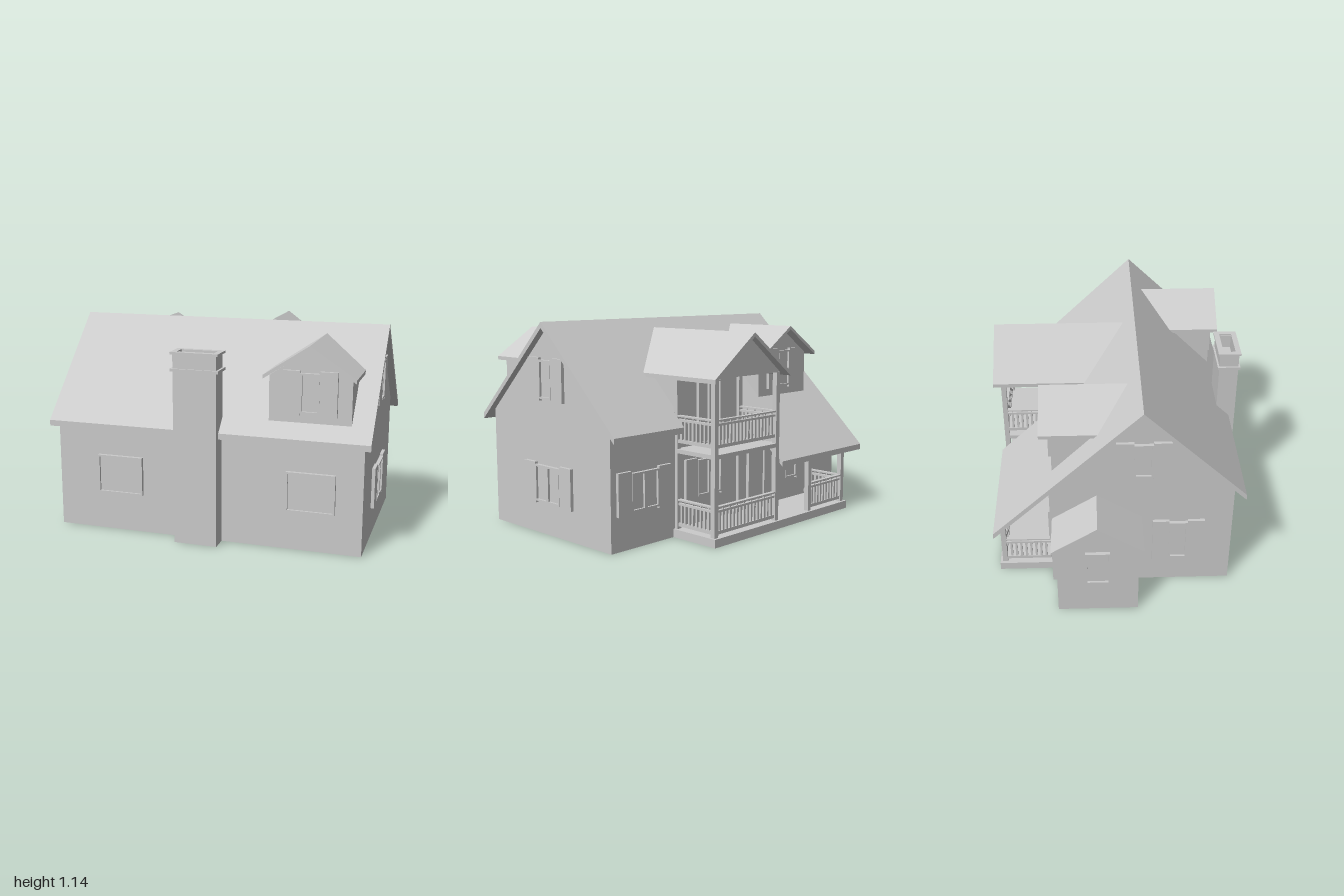
import * as THREE from 'three';

const mat = new THREE.MeshStandardMaterial({ color: 0xcccccc, flatShading: true, side: THREE.DoubleSide });
const RIDGE_Z = 0.11, RIDGE_Y = 1.142, SLOPE = 0.96;
const V = (x, y) => new THREE.Vector2(x, y);

function add(parent, name, geo) {
  const m = new THREE.Mesh(geo, mat);
  m.name = name;
  parent.add(m);
  return m;
}

// Box given by its limits on each axis
function block(parent, name, x0, x1, y0, y1, z0, z1) {
  const g = new THREE.BoxGeometry(x1 - x0, y1 - y0, z1 - z0);
  g.translate((x0 + x1) / 2, (y0 + y1) / 2, (z0 + z1) / 2);
  return add(parent, name, g);
}

// Outline of [z, y] points extruded along x
function prism(parent, name, pts, x0, x1) {
  const shape = new THREE.Shape(pts.map(([z, y]) => V(-z, y)));
  const g = new THREE.ExtrudeGeometry(shape, { depth: x1 - x0, bevelEnabled: false });
  g.rotateY(Math.PI / 2).translate(x0, 0, 0);
  return add(parent, name, g);
}

// Chevron outline of a pitched roof, as [offset, y] points
function chevron(half, ridge, slope, t, half2 = half) {
  return [[-half, ridge - slope * half], [0, ridge], [half2, ridge - slope * half2],
    [half2, ridge - slope * half2 - t], [0, ridge - t], [-half, ridge - slope * half - t]];
}

// Gabled walls with an open underside, ridge along x
function gableShell(parent, name, x0, x1, zc, hw, eave, ridge) {
  const g = new THREE.Group();
  g.name = name;
  parent.add(g);
  for (const s of [-1, 1]) {
    add(g, 'longWall', new THREE.PlaneGeometry(x1 - x0, eave).translate((x0 + x1) / 2, eave / 2, zc + s * hw));
    const end = new THREE.ShapeGeometry(new THREE.Shape([V(-hw, 0), V(hw, 0), V(hw, eave), V(0, ridge), V(-hw, eave)]));
    end.rotateY(s * Math.PI / 2).translate(s > 0 ? x1 : x0, 0, zc);
    add(g, 'gableWall', end);
  }
}

// Outline of [x, y] points extruded from its front back onto the main roof slope
function ontoRoof(parent, name, pts, front) {
  const g = new THREE.ExtrudeGeometry(new THREE.Shape(pts.map(p => V(...p))), { depth: 1, bevelEnabled: false });
  const p = g.attributes.position;
  for (let i = 0; i < p.count; i++) {
    const back = Math.min(front, (RIDGE_Y - p.getY(i)) / SLOPE + 0.01);
    p.setZ(i, p.getZ(i) > 0.5 ? front : back);
  }
  g.computeVertexNormals();
  return add(parent, name, g);
}

// Window facing +z, optional shutters, one or two panes
function windowUnit(parent, x, y, z, ry, w, h, panes = 1, shutter = 0) {
  const g = new THREE.Group();
  g.name = 'window';
  g.position.set(x, y, z);
  g.rotation.y = ry;
  parent.add(g);
  const pw = w / panes, f = 0.01;
  for (let i = 0; i < panes; i++) {
    const a = -w / 2 + i * pw, b = a + pw;
    const s = new THREE.Shape([V(a, -h / 2), V(b, -h / 2), V(b, h / 2), V(a, h / 2)]);
    s.holes.push(new THREE.Path([V(a + f, f - h / 2), V(a + f, h / 2 - f), V(b - f, h / 2 - f), V(b - f, f - h / 2)]));
    add(g, 'frame', new THREE.ExtrudeGeometry(s, { depth: 0.02, bevelEnabled: false }));
    block(g, 'pane', a + f, b - f, f - h / 2, h / 2 - f, 0, 0.008);
  }
  if (shutter) for (const s of [-1, 1]) {
    const c = s * (w + shutter) / 2;
    block(g, 'shutter', c - shutter / 2, c + shutter / 2, -h / 2 - 0.012, h / 2 + 0.012, 0, 0.018);
  }
  return g;
}

// Balustrade between two ground points
function railing(parent, x0, z0, x1, z1, y) {
  const g = new THREE.Group(), len = Math.hypot(x1 - x0, z1 - z0);
  g.name = 'railing';
  g.position.set(x0, y, z0);
  g.rotation.y = Math.atan2(z0 - z1, x1 - x0);
  parent.add(g);
  block(g, 'bottomRail', 0, len, 0.015, 0.033, -0.008, 0.008);
  block(g, 'middleRail', 0, len, 0.13, 0.142, -0.008, 0.008);
  block(g, 'handRail', 0, len, 0.154, 0.162, -0.012, 0.012);
  const n = Math.round(len / 0.027);
  for (let i = 1; i < n; i++) {
    const c = i * len / n;
    block(g, 'baluster', c - 0.006, c + 0.006, 0.03, 0.132, -0.006, 0.006);
    if (i % 2) block(g, 'railSpacer', c - 0.003, c + 0.003, 0.14, 0.155, -0.003, 0.003);
  }
}

// Rectangular tube standing upright
function ring(parent, name, x0, x1, z0, z1, t, y0, y1) {
  const s = new THREE.Shape([V(x0, -z1), V(x1, -z1), V(x1, -z0), V(x0, -z0)]);
  s.holes.push(new THREE.Path([V(x0 + t, t - z1), V(x0 + t, -z0 - t), V(x1 - t, -z0 - t), V(x1 - t, t - z1)]));
  const g = new THREE.ExtrudeGeometry(s, { depth: y1 - y0, bevelEnabled: false });
  add(parent, name, g.rotateX(-Math.PI / 2).translate(0, y0, 0));
}

// Dormer facing away from the ridge; side 1 is front, -1 is back
function dormer(parent, name, x, side, roofFront) {
  const g = new THREE.Group();
  g.name = name;
  g.position.set(x, 0, RIDGE_Z);
  g.rotation.y = side > 0 ? 0 : Math.PI;
  parent.add(g);
  const front = 0.475, base = RIDGE_Y - SLOPE * front;
  ontoRoof(g, 'dormerWalls', [[-0.215, base], [0.215, base], [0.215, 0.925], [0, 1.07], [-0.215, 0.925]], front);
  ontoRoof(g, 'dormerRoof', chevron(0.24, 1.09, 0.66, 0.02), roofFront);
  windowUnit(g, 0, 0.842, front, 0, 0.1, 0.208, 1, 0.092);
}

export function createModel() {
  const house = new THREE.Group();
  house.name = 'house';

  // Main walls and roof
  gableShell(house, 'mainWalls', -0.735, 0.962, RIDGE_Z, 0.49, 0.645, 1.115);
  const t = 0.032, roofY = d => RIDGE_Y - SLOPE * d;
  const roof = new THREE.Group();
  roof.name = 'mainRoof';
  house.add(roof);
  prism(roof, 'roofSlabs', chevron(0.49, RIDGE_Y, SLOPE, t, 0.55).map(([d, y]) => [RIDGE_Z + d, y]), -0.762, 1);
  for (const [name, x0, x1, d] of [['backEave', 0.52, 1, 0.565], ['porchRoof', -0.762, -0.01, 0.798]])
    prism(roof, name, [[RIDGE_Z - 0.49, roofY(0.49)], [RIDGE_Z - d, roofY(d)],
      [RIDGE_Z - d, roofY(d) - t], [RIDGE_Z - 0.49, roofY(0.49) - t]], x0, x1);

  // Dormers
  dormer(house, 'frontDormer', 0.673, 1, 0.52);
  dormer(house, 'backDormer', -0.4, -1, 0.535);

  // Chimney
  const chimney = new THREE.Group();
  chimney.name = 'chimney';
  house.add(chimney);
  ring(chimney, 'shaft', -0.028, 0.208, 0.585, 0.694, 0.02, 0, 1.03);
  ring(chimney, 'lowerBand', -0.04, 0.22, 0.575, 0.704, 0.02, 0.935, 0.95);
  ring(chimney, 'cap', -0.04, 0.22, 0.575, 0.704, 0.03, 1.025, 1.037);
  block(chimney, 'flueFloor', -0.01, 0.19, 0.94, 0.95, 0.6, 0.68);

  // Side annex
  gableShell(house, 'annexWalls', -0.957, -0.735, -0.13, 0.215, 0.45, 0.592);
  prism(house, 'annexRoof', chevron(0.24, 0.61, 0.645, 0.02).map(([d, y]) => [d - 0.13, y]), -1, -0.735);

  // Windows and doors on the walls
  const H = Math.PI / 2;
  for (const x of [-0.37, 0.69]) windowUnit(house, x, 0.32, 0.6, 0, 0.26, 0.215);
  windowUnit(house, 0.962, 0.28, 0.112, H, 0.205, 0.2, 2, 0.095);
  windowUnit(house, 0.962, 0.84, 0.115, H, 0.1, 0.205, 1, 0.093);
  windowUnit(house, -0.735, 0.84, 0.115, -H, 0.1, 0.205, 1, 0.093);
  windowUnit(house, -0.735, 0.295, 0.31, -H, 0.1, 0.25, 1, 0.09);
  windowUnit(house, -0.957, 0.31, -0.13, -H, 0.13, 0.21);
  windowUnit(house, 0.74, 0.295, -0.38, Math.PI, 0.19, 0.2, 2, 0.09);
  windowUnit(house, 0.26, 0.295, -0.38, Math.PI, 0.19, 0.2, 2, 0.09);
  windowUnit(house, -0.46, 0.275, -0.38, Math.PI, 0.11, 0.2, 1, 0.085);
  windowUnit(house, -0.14, 0.215, -0.38, Math.PI, 0.15, 0.34).name = 'frontDoor';
  windowUnit(house, 0.26, 0.65, -0.38, Math.PI, 0.18, 0.34, 2).name = 'balconyDoor';

  // Porch floor, posts and railings
  const porch = new THREE.Group();
  porch.name = 'porch';
  house.add(porch);
  block(porch, 'porchFloor', -0.64, 0.525, 0, 0.045, -0.68, -0.38);
  const post = (x, z, top) => block(porch, 'post', x - 0.014, x + 0.014, 0.045, top, z - 0.014, z + 0.014);
  for (const x of [0.01, 0.5]) {
    post(x, -0.652, 0.87);
    post(x, -0.385, 0.87);
    railing(porch, x, -0.64, x, -0.39, 0.495);
  }
  for (const x of [-0.29, -0.61]) post(x, -0.652, 0.385);
  block(porch, 'porchBeam', -0.73, 0, 0.365, 0.385, -0.664, -0.64);
  for (const [x0, x1, y] of [[0.02, 0.49, 0.045], [0.02, 0.49, 0.495], [-0.6, -0.3, 0.045]])
    railing(porch, x0, -0.652, x1, -0.652, y);
  for (const x of [0.5, -0.61]) railing(porch, x, -0.64, x, -0.39, 0.045);

  // Upper balcony with its own gabled roof
  block(porch, 'balconyFloor', -0.004, 0.514, 0.455, 0.477, -0.666, -0.38);
  const balcony = new THREE.Group();
  balcony.name = 'balconyGable';
  balcony.position.set(0.255, 0, RIDGE_Z);
  balcony.rotation.y = Math.PI;
  house.add(balcony);
  const base = roofY(0.49);
  ontoRoof(balcony, 'balconyWalls', [[-0.245, base], [0.245, base], [0.245, 0.87], [-0.245, 0.87]], 0.49);
  ontoRoof(balcony, 'gablePanel', [[-0.26, 0.865], [0.26, 0.865], [0, 1.068]], 0.775);
  ontoRoof(balcony, 'balconyRoof', chevron(0.3, 1.09, 0.74, 0.022), 0.815);

  return house;
}
